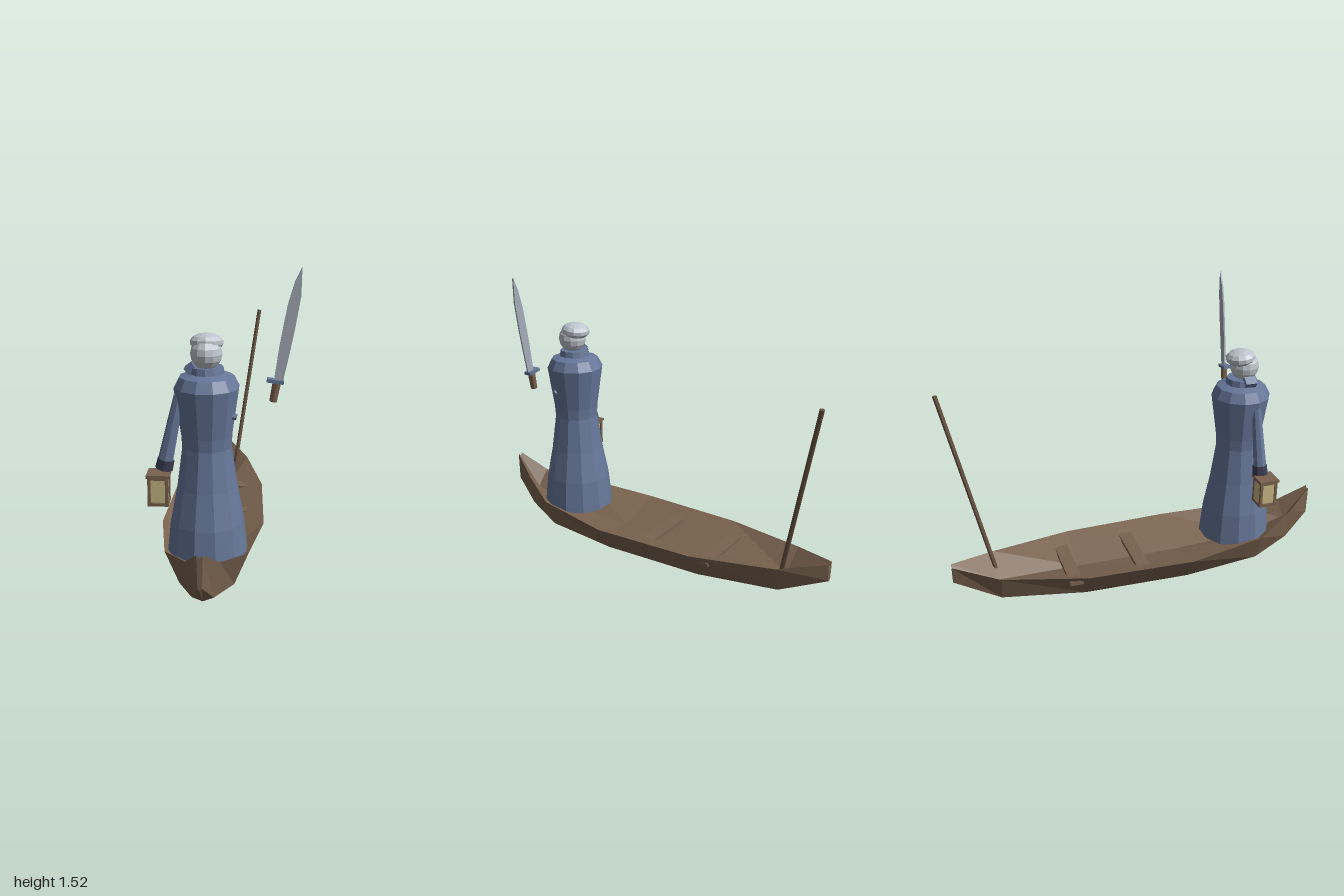
import * as THREE from 'three';

const mat = (name, color, side = THREE.FrontSide) => {
  const m = new THREE.MeshStandardMaterial({ color, side });
  m.name = name;
  m.flatShading = true;
  return m;
};

export function createModel() {
  const wood = mat('wood', 0x7a634f);
  const darkWood = mat('dark wood', 0x65503f);
  const cloth = mat('blue cloth', 0x667799);
  const cuffCloth = mat('dark cuff', 0x3a3d52);
  const pale = mat('pale grey', 0xbfc4cd);
  const steel = mat('steel', 0xa6adba);
  const glass = mat('lantern glass', 0xc9b985);

  const model = new THREE.Group();
  const V = (x, y, z) => new THREE.Vector3(x, y, z);
  const add = (name, geo, material, x = 0, y = 0, z = 0, parent = model) => {
    const m = new THREE.Mesh(geo, material);
    m.name = name;
    m.position.set(x, y, z);
    parent.add(m);
    return m;
  };
  const box = (name, w, h, d, material, x, y, z, parent) =>
    add(name, new THREE.BoxGeometry(w, h, d), material, x, y, z, parent);
  // tapered rod running from a to b
  const rod = (name, a, b, ra, rb, sides, material) => {
    const dir = b.clone().sub(a);
    const m = add(name, new THREE.CylinderGeometry(rb, ra, dir.length(), sides), material);
    m.position.copy(a).add(b).multiplyScalar(0.5);
    m.quaternion.setFromUnitVectors(V(0, 1, 0), dir.normalize());
    return m;
  };

  const cx = -0.075; // centre line of boat and figure

  // hull stations: z, rim half width, rim y, chine half width, chine y, keel y, floor y
  const stations = [
    [-1, 0.02, 0.23, 0.014, 0.14, 0.13, 0.215],
    [-0.77, 0.14, 0.19, 0.09, 0.05, 0.028, 0.1],
    [-0.34, 0.24, 0.175, 0.15, 0.03, 0.004, 0.1],
    [0.22, 0.26, 0.175, 0.165, 0.03, 0, 0.1],
    [0.64, 0.197, 0.205, 0.13, 0.045, 0.022, 0.12],
    [0.86, 0.077, 0.262, 0.05, 0.09, 0.07, 0.18],
    [1, 0.014, 0.36, 0.01, 0.205, 0.19, 0.345],
  ];
  const rings = stations.map(([z, rw, ry, cw, cy, ky, fy]) => [
    V(cx + rw, ry, z), V(cx, fy, z), V(cx - rw, ry, z),
    V(cx - cw, cy, z), V(cx, ky, z), V(cx + cw, cy, z),
  ]);
  const tris = [];
  for (let i = 0; i < rings.length - 1; i++) {
    for (let j = 0; j < 6; j++) {
      const k = (j + 1) % 6;
      const a = rings[i][j], b = rings[i][k], c = rings[i + 1][k], d = rings[i + 1][j];
      tris.push(a, b, c, a, c, d);
    }
  }
  // end caps, fanned from the keel
  const first = rings[0], last = rings[rings.length - 1];
  for (let n = 5; n < 9; n++) {
    const p = n % 6, q = (n + 1) % 6;
    tris.push(last[4], last[p], last[q], first[4], first[q], first[p]);
  }
  const hull = new THREE.BufferGeometry().setFromPoints(tris);
  hull.computeVertexNormals();
  add('hull', hull, wood);

  // thwarts
  box('rearSeat', 0.43, 0.02, 0.07, wood, cx, 0.14, -0.4);
  box('middleSeat', 0.44, 0.02, 0.07, wood, cx, 0.14, -0.03);

  // pole leaning over the stern
  rod('pole', V(-0.01, 0.13, -0.77), V(0.13, 1.08, -0.982), 0.012, 0.012, 7, darkWood);

  // long coat
  const fz = 0.555;
  const profile = [
    [0, 0.17], [0.192, 0.17], [0.19, 0.2], [0.175, 0.34], [0.142, 0.51], [0.116, 0.7],
    [0.12, 0.76], [0.152, 0.98], [0.126, 1.03], [0.08, 1.045], [0, 1.045],
  ].map(([r, y]) => new THREE.Vector2(r, y));
  add('coat', new THREE.LatheGeometry(profile, 12, Math.PI / 12), cloth, cx, 0, fz);

  // collar with a knot on one side
  add('collar', new THREE.CylinderGeometry(0.076, 0.084, 0.04, 12), cloth, cx, 1.055, fz);
  const knot = box('collarKnot', 0.045, 0.055, 0.06, cloth, -0.14, 1.062, 0.57);
  knot.rotation.z = 0.65;

  // head and cap
  const head = add('head', new THREE.SphereGeometry(0.075, 12, 8), pale, cx, 1.135, 0.568);
  head.scale.set(0.97, 1, 1);
  const cap = add('cap', new THREE.SphereGeometry(0.077, 12, 7), pale, cx, 1.182, 0.543);
  cap.scale.set(1, 0.56, 1);
  cap.rotation.x = -0.1;

  // arm holding the lantern, and the stub of the other sleeve
  rod('sleeve', V(-0.268, 0.62, 0.6), V(-0.198, 0.945, 0.59), 0.036, 0.024, 8, cloth);
  rod('cuff', V(-0.271, 0.6, 0.6), V(-0.26, 0.647, 0.6), 0.041, 0.039, 8, cuffCloth);
  rod('farSleeve', V(-0.03, 0.87, 0.59), V(0.063, 0.85, 0.597), 0.02, 0.014, 6, cloth);

  // lantern
  const lantern = new THREE.Group();
  lantern.name = 'lantern';
  lantern.position.set(-0.293, 0.515, 0.622);
  model.add(lantern);
  box('lanternCap', 0.106, 0.014, 0.106, wood, 0, 0.068, 0, lantern);
  box('lanternTopRail', 0.094, 0.012, 0.094, wood, 0, 0.056, 0, lantern);
  box('lanternBase', 0.096, 0.016, 0.096, wood, 0, -0.067, 0, lantern);
  box('lanternGlass', 0.08, 0.114, 0.08, glass, 0, -0.003, 0, lantern);
  for (const sx of [-1, 1]) for (const sz of [-1, 1])
    box('lanternPost', 0.014, 0.12, 0.014, wood, sx * 0.04, -0.002, sz * 0.04, lantern);

  // curved blade
  const sz = 0.595;
  const outline = new THREE.Shape([
    [0.227, 1.02], [0.268, 1.02], [0.292, 1.13], [0.316, 1.25], [0.341, 1.4],
    [0.343, 1.525], [0.312, 1.46], [0.283, 1.36], [0.252, 1.19],
  ].map(([x, y]) => new THREE.Vector2(x, y)));
  const blade = new THREE.ExtrudeGeometry(outline, { depth: 0.008, bevelEnabled: false });
  add('swordBlade', blade, steel, 0, 0, sz - 0.004);
  const guard = box('swordGuard', 0.076, 0.016, 0.04, cloth, 0.234, 1.02, sz);
  guard.rotation.z = -0.14;
  rod('swordGrip', V(0.225, 0.926, sz), V(0.241, 1.015, sz), 0.017, 0.019, 8, wood);

  return model;
}
